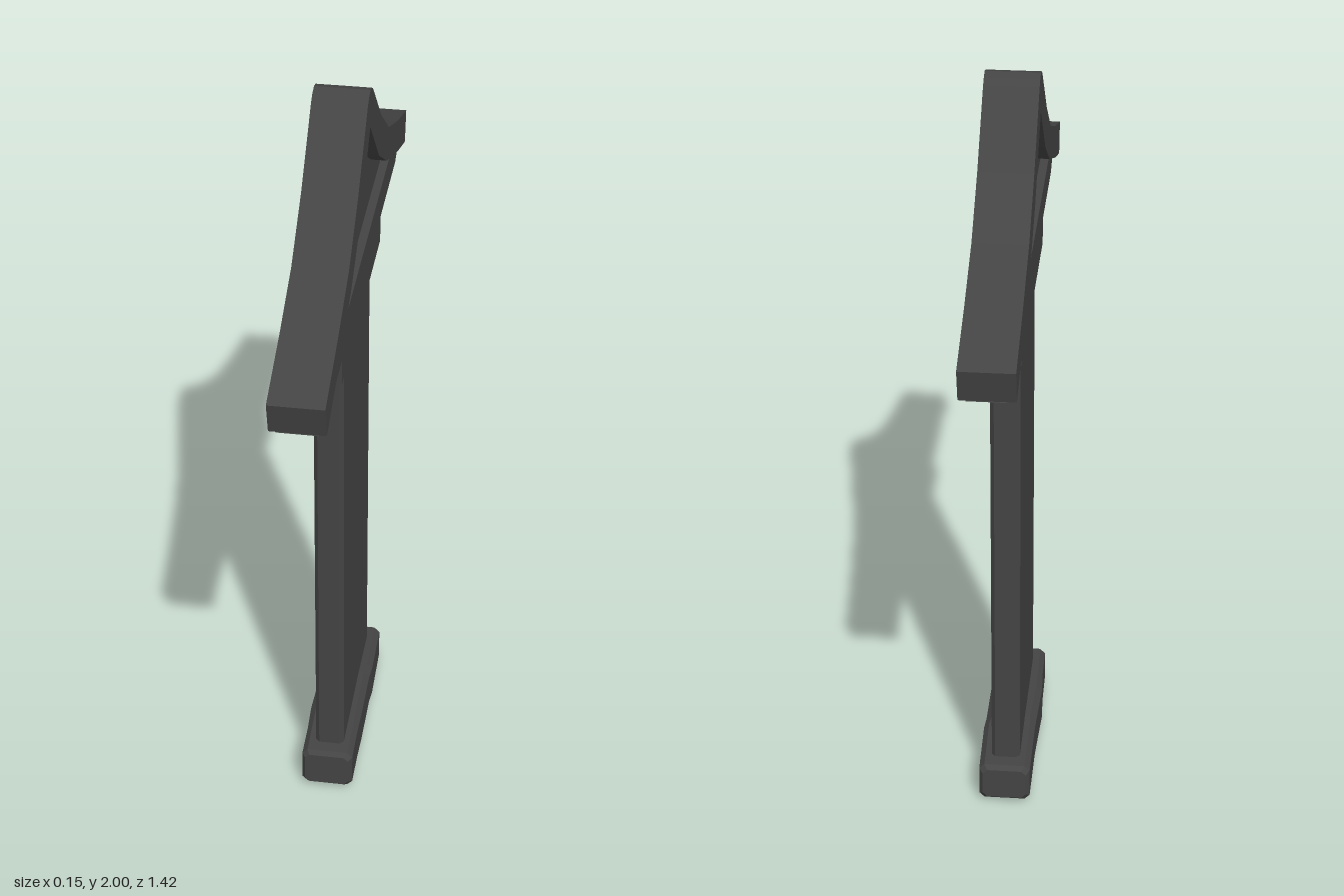
import * as THREE from 'three';

const material = new THREE.MeshStandardMaterial({ color: 0x444444, flatShading: true });

// Extrudes a side profile of [z, y] points across x, centred on x = 0
function slab(name, points, halfWidth) {
  const shape = new THREE.Shape(points.map(([z, y]) => new THREE.Vector2(z, y)));
  const geometry = new THREE.ExtrudeGeometry(shape, { depth: halfWidth * 2, bevelEnabled: false });
  geometry.translate(0, 0, -halfWidth).rotateY(-Math.PI / 2);
  const mesh = new THREE.Mesh(geometry, material);
  mesh.name = name;
  return mesh;
}

// Completes a half profile with its mirror image in z
const mirror = (half) => [...half, ...half.filter(([z]) => z > 0).reverse().map(([z, y]) => [-z, y])];

// Worn stone block: chamfered octagons lofted along z
// each station is [z, left x, right x, bottom y, top y, chamfer]
function stoneBase(stations) {
  const positions = [], index = [], n = 8;
  for (const [z, x0, x1, y0, y1, c] of stations) {
    for (const [x, y] of [
      [x0 + c, y0], [x1 - c, y0], [x1, y0 + c], [x1, y1 - c],
      [x1 - c, y1], [x0 + c, y1], [x0, y1 - c], [x0, y0 + c],
    ]) positions.push(x, y, z);
  }
  for (let s = 0; s < stations.length - 1; s++) {
    for (let i = 0; i < n; i++) {
      const a = s * n + i, b = s * n + (i + 1) % n;
      index.push(a, b, b + n, a, b + n, a + n);
    }
  }
  // End caps
  const last = (stations.length - 1) * n;
  for (let i = 1; i < n - 1; i++) {
    index.push(0, i + 1, i, last, last + i, last + i + 1);
  }
  const geometry = new THREE.BufferGeometry();
  geometry.setAttribute('position', new THREE.Float32BufferAttribute(positions, 3));
  geometry.setIndex(index);
  geometry.computeVertexNormals();
  const mesh = new THREE.Mesh(geometry, material);
  mesh.name = 'stoneBase';
  return mesh;
}

export function createModel() {
  const group = new THREE.Group();
  group.name = 'roofedPost';

  // Curved roof band, top and underside
  const roofTop = [[0, 2], [0.025, 1.993], [0.045, 1.98], [0.2, 1.825], [0.35, 1.71], [0.52, 1.635], [0.712, 1.565]];
  const roofUnder = [[0.692, 1.48], [0.54, 1.535], [0.315, 1.632], [0.165, 1.73], [0, 1.9]];
  const flip = ([z, y]) => [-z, y];
  group.add(slab('roof', [
    ...roofTop, ...roofUnder,
    ...roofUnder.slice(0, -1).reverse().map(flip),
    ...roofTop.slice(1).reverse().map(flip),
  ], 0.068));

  // Recessed panel under the roof
  group.add(slab('gablePanel', mirror([[0, 1.905], [0.165, 1.735], [0.315, 1.637], [0.54, 1.54], [0.54, 1.5]]), 0.028));

  // Cross beam with tapered ends, and the bracket below it
  group.add(slab('crossBeam', mirror([[0.54, 1.532], [0.692, 1.478], [0.63, 1.45]]), 0.05));
  group.add(slab('bracket', mirror([[0.338, 1.46], [0.338, 1.38]]), 0.05));

  // Upright with chamfered corners
  const w = 0.038, d = 0.235, c = 0.01;
  const section = new THREE.Shape([
    [w - c, -d], [w, -d + c], [w, d - c], [w - c, d],
    [-w + c, d], [-w, d - c], [-w, -d + c], [-w + c, -d],
  ].map(([x, z]) => new THREE.Vector2(x, z)));
  const postGeometry = new THREE.ExtrudeGeometry(section, { depth: 1.31, bevelEnabled: false });
  postGeometry.rotateX(-Math.PI / 2).translate(0, 0.08, 0);
  const post = new THREE.Mesh(postGeometry, material);
  post.name = 'post';
  group.add(post);

  // Slightly uneven foot
  group.add(stoneBase([
    [-0.283, -0.058, 0.058, 0.02, 0.108, 0.012],
    [-0.27, -0.068, 0.068, 0.008, 0.118, 0.014],
    [-0.1, -0.068, 0.071, 0.008, 0.125, 0.014],
    [-0.06, -0.069, 0.068, 0.006, 0.128, 0.016],
    [0.09, -0.074, 0.068, 0, 0.124, 0.016],
    [0.17, -0.07, 0.067, 0.006, 0.122, 0.013],
    [0.27, -0.069, 0.068, 0.008, 0.122, 0.014],
    [0.283, -0.06, 0.058, 0.018, 0.114, 0.012],
  ]));

  return group;
}
